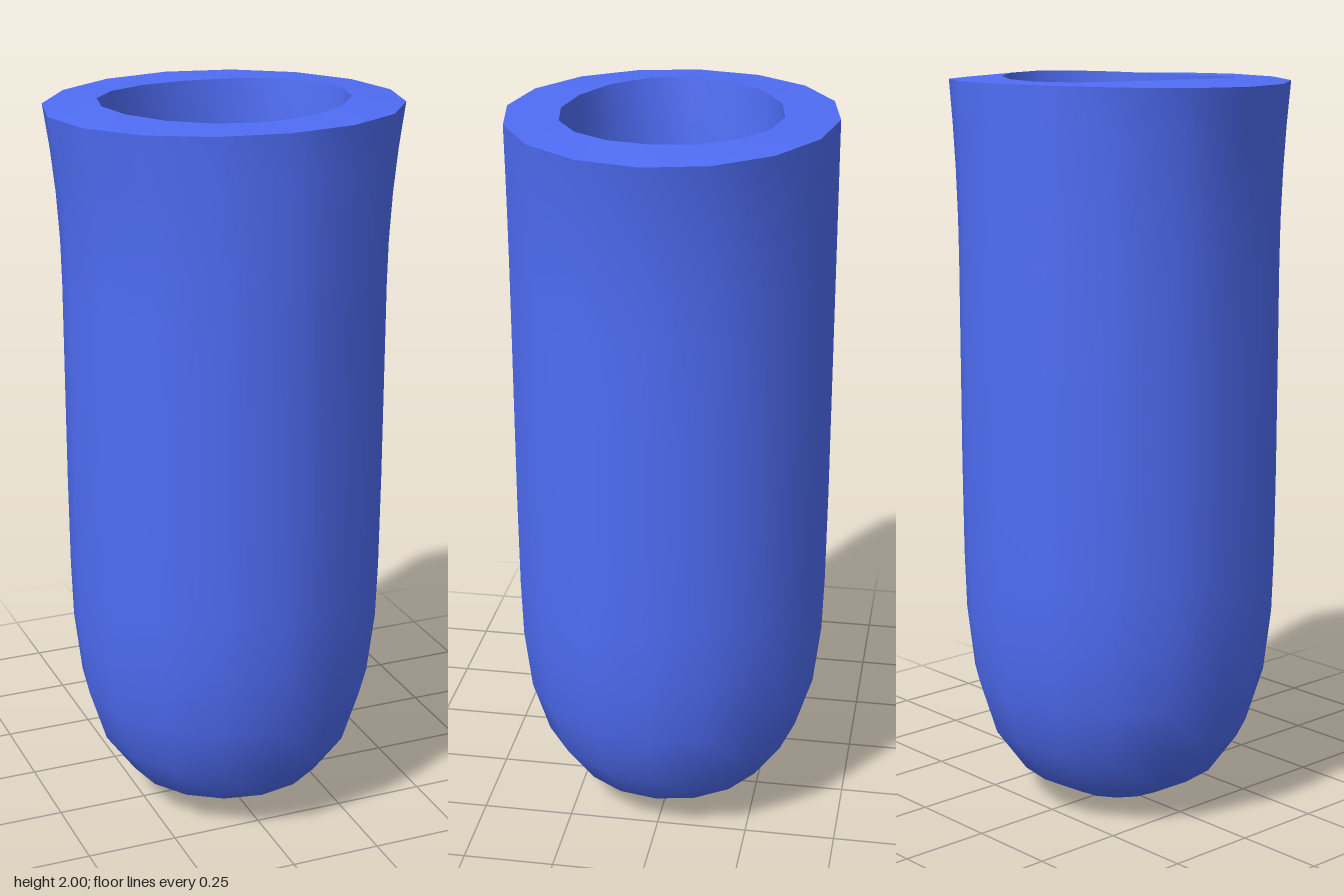
import * as THREE from 'three';
import { mergeVertices } from 'three/addons/utils/BufferGeometryUtils.js';

const SIDES = 16;
const FLARE_START = 1.5;
const MOUTH = 1.99;
const wallHeights = [0.95, 1.25, 1.5, 1.62, 1.75, 1.87, MOUTH];

// Lathe a [radius, height] profile, then widen the mouth sideways along x.
function flaredLathe(profile) {
  const geometry = new THREE.LatheGeometry(profile.map(([r, y]) => new THREE.Vector2(r, y)), SIDES);
  geometry.deleteAttribute('uv');
  geometry.deleteAttribute('normal');
  const p = geometry.attributes.position;
  for (let i = 0; i < p.count; i++) {
    const x = p.getX(i), y = p.getY(i), r = Math.hypot(x, p.getZ(i));
    if (y <= FLARE_START) continue;
    const t = ((y - FLARE_START) / (MOUTH - FLARE_START)) ** 2;
    const side = x / r;
    p.setX(i, x + 0.045 * t * side);
    // The rim stays square to the flared wall: inner edge up, outer edge down.
    p.setY(i, y + t * side * side * (r < 0.36 ? 0.01 : -0.006));
  }
  const merged = mergeVertices(geometry, 1e-4);
  merged.computeVertexNormals();
  return merged;
}

export function createModel() {
  const model = new THREE.Group();
  model.name = 'roundBottomedTube';
  const material = new THREE.MeshStandardMaterial({ color: 0x4f6df5 });

  const add = (name, profile) => {
    const mesh = new THREE.Mesh(flaredLathe(profile), material);
    mesh.name = name;
    model.add(mesh);
  };

  // Rounded base rising into a straight wall
  add('outerWall', [
    [0, 0], [0.145, 0.025], [0.275, 0.095], [0.358, 0.21], [0.405, 0.36], [0.425, 0.53], [0.43, 0.69],
    ...wallHeights.map((y) => [0.432, y]),
  ]);

  // Cavity, listed from the mouth down so it faces inward
  add('innerWall', [
    [0, 0.145], [0.1, 0.16], [0.19, 0.21], [0.245, 0.3], [0.275, 0.42], [0.287, 0.56], [0.29, 0.69],
    ...wallHeights.map((y) => [0.29, y]),
  ].reverse());

  // Flat ring joining both walls at the mouth
  add('rim', [[0.432, MOUTH], [0.29, MOUTH]]);

  return model;
}
